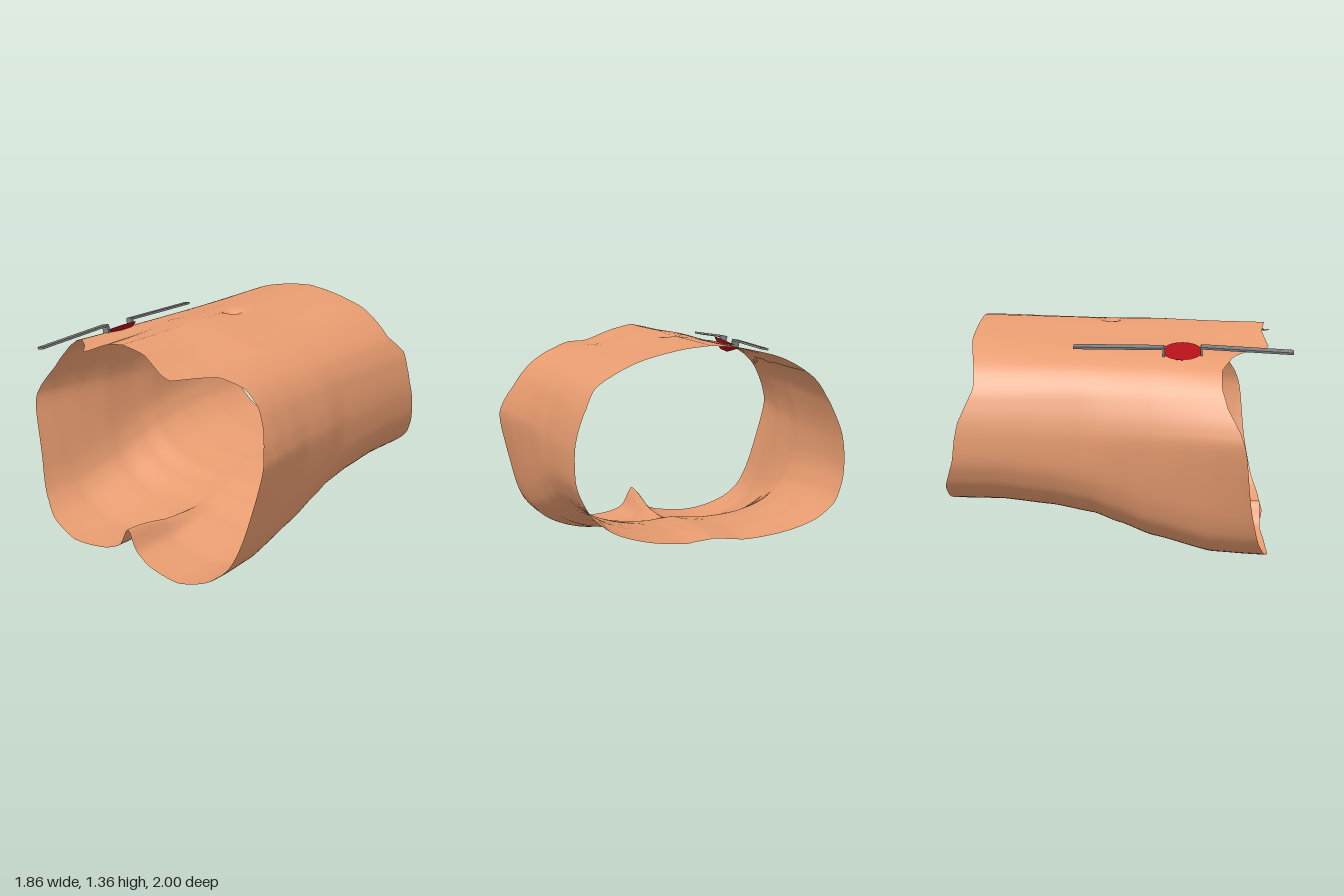
import * as THREE from 'three';

// Half outline from lower centre, round the left side, to upper centre:
// [x, y at front end, x, y at back end]
const OUTLINE = [
  [0, .03, 0, .285], [.1, .02, .1, .275], [.22, .01, .2, .27], [.44, 0, .4, .3],
  [.64, .06, .58, .36], [.75, .15, .7, .45], [.81, .26, .755, .54], [.86, .43, .785, .63],
  [.93, .73, .79, .75], [.92, .85, .78, .85], [.87, .97, .755, .95], [.8, 1.08, .72, 1.04],
  [.7, 1.16, .65, 1.14], [.56, 1.21, .54, 1.22], [.42, 1.22, .42, 1.28], [.31, 1.23, .3, 1.315],
  [.15, 1.295, .15, 1.345], [0, 1.33, 0, 1.36],
];
// z of the cut edges along the same outline
const FRONT_L = [.85, .85, .87, .885, .86, .82, .795, .765, .735, .70, .63, .595, .595, .66, .905, .87, .83, .85];
const FRONT_R = FRONT_L.map((z, i) => (i === 14 ? .76 : z));
const BACK_L = [-.955, -.955, -.965, -.985, -1, -1, -.97, -.94, -.925, -.905, -.905, -.91, -.825, -.85, -.87, -.87, -.87, -.87];
const BACK_R = BACK_L.map((z, i) => (i === 10 ? -.86 : i === 11 ? -.82 : z));

// How far each z blends from the back outline (0) to the front one (1)
const WIDTH = [[-.85, 0], [-.2, .08], [0, .25], [.2, .34], [.4, .57], [.6, .82], [.74, 1]];
const LOWER = [[-.7, 0], [-.4, .1], [-.15, .25], [0, .43], [.2, .68], [.55, .96], [.88, 1]];
const UPPER = [[-.85, 0], [-.2, .35], [.2, .4], [.6, .85], [.88, 1]];

function ramp(keys, z) {
  if (z <= keys[0][0]) return keys[0][1];
  for (let i = 1; i < keys.length; i++) {
    const [z0, a] = keys[i - 1], [z1, b] = keys[i];
    if (z <= z1) return a + (b - a) * THREE.MathUtils.smoothstep(z, z0, z1) * .3 + (b - a) * .7 * (z - z0) / (z1 - z0);
  }
  return keys[keys.length - 1][1];
}

function sample(list, u) {
  const f = u * (list.length - 1), i = Math.min(Math.floor(f), list.length - 2);
  return THREE.MathUtils.lerp(list[i], list[i + 1], f - i);
}

const spline = (k) => new THREE.CatmullRomCurve3(
  OUTLINE.map((p) => new THREE.Vector3(p[k], p[k + 1], 0)), false, 'catmullrom', .5);
const frontCurve = spline(0), backCurve = spline(2);

function skinPoint(u, side, z) {
  const f = frontCurve.getPoint(u), b = backCurve.getPoint(u);
  const x = THREE.MathUtils.lerp(b.x, f.x, ramp(WIDTH, z));
  const up = THREE.MathUtils.smoothstep(u, .3, .75);
  let y = THREE.MathUtils.lerp(b.y, f.y, THREE.MathUtils.lerp(ramp(LOWER, z), ramp(UPPER, z), up));
  // cleft underneath
  if (u < .4) {
    const fade = THREE.MathUtils.smoothstep(z, 0, .85);
    y += fade * (.11 * Math.exp(-((x / .045) ** 2)) + .05 * Math.exp(-((x / .13) ** 2)));
  }
  // navel on top
  if (u > .7) {
    const d = (z + .085) / .04;
    y -= .045 * Math.exp(-((x / .035) ** 2) - d * d) + .008 * Math.exp(-((x / .09) ** 2) - (d / 2.5) ** 2);
  }
  return [side * x, y, z];
}

function skinGeometry() {
  const half = 96, rows = 84, ring = half * 2;
  const pos = [], index = [];
  for (let r = 0; r <= rows; r++) {
    for (let j = 0; j < ring; j++) {
      const left = j <= half, u = (left ? j : ring - j) / half;
      const z = THREE.MathUtils.lerp(
        sample(left ? FRONT_L : FRONT_R, u), sample(left ? BACK_L : BACK_R, u), r / rows);
      pos.push(...skinPoint(u, left ? 1 : -1, z));
      if (r < rows) {
        const a = r * ring + j, b = r * ring + (j + 1) % ring;
        index.push(a, a + ring, b, b, a + ring, b + ring);
      }
    }
  }
  const g = new THREE.BufferGeometry();
  g.setAttribute('position', new THREE.Float32BufferAttribute(pos, 3));
  g.setIndex(index);
  g.computeVertexNormals();
  return g;
}

export function createModel() {
  const model = new THREE.Group();
  const skin = new THREE.MeshStandardMaterial({ color: 0xe89c70, side: THREE.DoubleSide });
  const red = new THREE.MeshStandardMaterial({ color: 0xb00a14 });
  const grey = new THREE.MeshStandardMaterial({ color: 0x808080 });

  const add = (name, geometry, material, parent = model) => {
    const mesh = new THREE.Mesh(geometry, material);
    mesh.name = name;
    parent.add(mesh);
    return mesh;
  };

  add('torso', skinGeometry(), skin);

  // incision: oval opening tapering to a narrow floor inside
  const wound = add('incision', new THREE.CylinderGeometry(1, .3, 1, 20), red);
  wound.scale.set(.088, .055, .115);
  wound.position.set(-.515, 1.212, .365);
  wound.rotation.z = .45;

  // retractors: flat blade with a short hook turned down into the incision
  const retractor = (name, x, y, zHook, zEnd, yEnd) => {
    const g = new THREE.Group();
    g.name = name;
    const dz = zEnd - zHook, dy = yEnd - y;
    const blade = add('blade', new THREE.BoxGeometry(.05, .013, Math.hypot(dz, dy)), grey, g);
    blade.position.set(0, dy / 2, dz / 2);
    blade.rotation.x = -Math.atan2(dy, dz) + (dz < 0 ? Math.PI : 0);
    const hook = add('hook', new THREE.BoxGeometry(.05, .05, .013), grey, g);
    hook.position.set(0, -.022, 0);
    g.position.set(x, y, zHook);
    g.rotation.z = .2;
    model.add(g);
  };
  retractor('frontRetractor', -.54, 1.265, .475, 1, 1.237);
  retractor('backRetractor', -.55, 1.26, .26, -.26, 1.26);

  return model;
}
